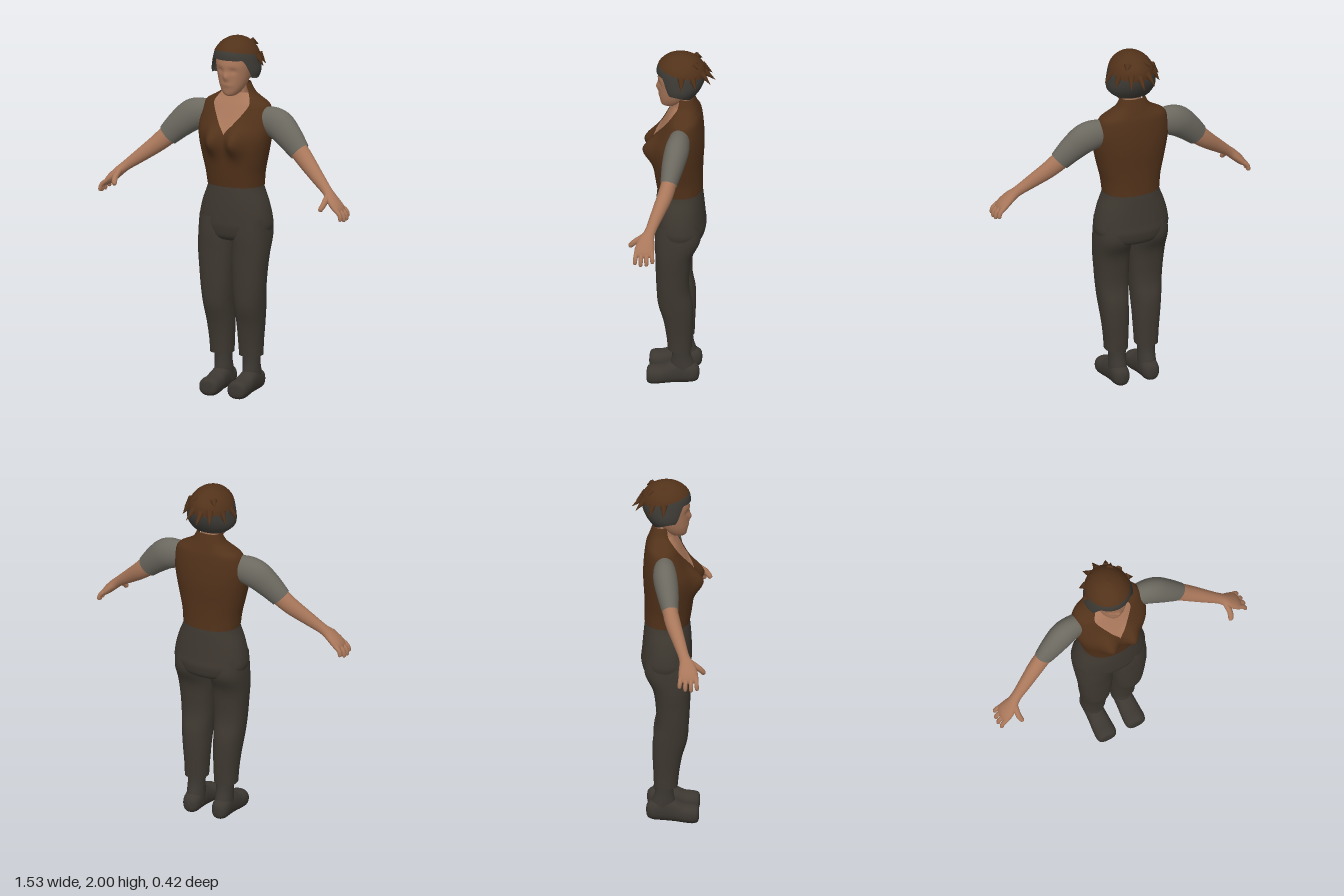
import * as THREE from 'three';
import { mergeVertices } from 'three/addons/utils/BufferGeometryUtils.js';

const mat = (name, color) => {
  const m = new THREE.MeshStandardMaterial({ color, side: THREE.DoubleSide });
  m.name = name;
  return m;
};

// Catmull-Rom sample of every column of a table, t in 0..1
function sample(rows, t) {
  const f = Math.min(Math.max(t, 0), 1) * (rows.length - 1);
  const i = Math.min(Math.floor(f), rows.length - 2), k = f - i;
  const at = (j) => rows[Math.min(Math.max(j, 0), rows.length - 1)];
  const [a, b, c, d] = [at(i - 1), at(i), at(i + 1), at(i + 2)];
  return b.map((_, n) => 0.5 * (2 * b[n] + (c[n] - a[n]) * k +
    (2 * a[n] - 5 * b[n] + 4 * c[n] - d[n]) * k * k + (3 * b[n] - a[n] - 3 * c[n] + d[n]) * k * k * k));
}

// Smooth grid surface from a point function of u and v
function sheet(fn, nu, nv) {
  const pos = [], idx = [];
  for (let j = 0; j <= nv; j++) for (let i = 0; i <= nu; i++) pos.push(...fn(i / nu, j / nv));
  for (let j = 0; j < nv; j++) for (let i = 0; i < nu; i++) {
    const a = j * (nu + 1) + i, c = a + nu + 1;
    idx.push(a, a + 1, c, a + 1, c + 1, c);
  }
  let g = new THREE.BufferGeometry();
  g.setAttribute('position', new THREE.Float32BufferAttribute(pos, 3));
  g.setIndex(idx);
  g = mergeVertices(g, 1e-5);
  g.computeVertexNormals();
  return g;
}

const pw = (v, p) => Math.sign(v) * Math.abs(v) ** p;
const bump = (x, y, x0, y0, sx, sy) => Math.exp(-(((x - x0) / sx) ** 2) - ((y - y0) / sy) ** 2);

// Point on a horizontal ring: [y, half width, front z, back z, centre x]
function ringPoint([y, w, f, b, cx = 0], th, p = 1) {
  w = Math.max(w, 0);
  return [cx + w * pw(Math.sin(th), p), y, (f + b) / 2 + (f - b) / 2 * pw(Math.cos(th), p)];
}
const column = (rows, p, nu = 40, nv = 40) =>
  sheet((u, v) => ringPoint(sample(rows, v), u * 2 * Math.PI, p), nu, nv);

// Limb along a path: [x, y, z, radius across, radius in depth]
function limb(rows, s, nu = 24, nv = 24) {
  const z = new THREE.Vector3(0, 0, 1);
  const pts = rows.map(([x, ...r]) => [s * x, ...r]);
  return sheet((u, v) => {
    const q = sample(pts, v), a = sample(pts, v - 0.01), b = sample(pts, v + 0.01);
    const t = new THREE.Vector3(b[0] - a[0], b[1] - a[1], b[2] - a[2]).normalize();
    const A = t.clone().cross(z).normalize(), B = t.clone().cross(A);
    const th = u * 2 * Math.PI;
    const o = A.multiplyScalar(Math.max(q[3], 0) * Math.cos(th)).addScaledVector(B, Math.max(q[4], 0) * Math.sin(th));
    return [q[0] + o.x, q[1] + o.y, q[2] + o.z];
  }, nu, nv);
}

// Torso table: y, half width, front z, back z, centre x, neckline half width
const TORSO = [
  [1.175, 0.16, 0.1, -0.148, 0, 0], [1.25, 0.168, 0.112, -0.148, 0, 0], [1.33, 0.186, 0.122, -0.15, 0, 0],
  [1.41, 0.203, 0.13, -0.155, 0, 0], [1.47, 0.212, 0.122, -0.156, 0, 0], [1.53, 0.213, 0.092, -0.153, 0, 0.045],
  [1.59, 0.203, 0.062, -0.147, 0, 0.088], [1.63, 0.185, 0.042, -0.14, 0, 0.108], [1.66, 0.135, 0.025, -0.13, 0, 0.098],
  [1.69, 0.094, 0.01, -0.12, 0, 0.08], [1.74, 0.068, -0.005, -0.102, 0, 0.058],
];
function torsoPoint(q, th, grow) {
  const [x, y, z] = ringPoint(q, th, 0.88);
  const chest = Math.cos(th) > 0 ? 0.052 * bump(Math.abs(x), y, 0.068, 1.43, 0.042, 0.07) : 0;
  return [x * grow, y, (z + chest + 0.03) * grow - 0.03];
}

// Head wrap table, from the lower rim to the crown
const WRAP = [
  [1.74, 0.11, 0.07, -0.1], [1.80, 0.138, 0.092, -0.142], [1.86, 0.133, 0.104, -0.163],
  [1.92, 0.116, 0.1, -0.158], [1.965, 0.083, 0.066, -0.123], [1.99, 0.042, 0.022, -0.078], [2.0, 0, -0.03, -0.03],
];
const wrapT = (y) => { // table position for a height
  let lo = 0, hi = 1;
  for (let i = 0; i < 24; i++) {
    const m = (lo + hi) / 2;
    if (sample(WRAP, m)[0] < y) lo = m; else hi = m;
  }
  return lo;
};
const seamY = (th) => 1.905 + 0.028 * Math.cos(th);
const rimY = (th) => {
  const a = Math.abs(Math.atan2(Math.sin(th), Math.cos(th)));
  return 1.885 - 0.095 * THREE.MathUtils.smoothstep(a, 0.75, 1.15) - 0.037 * THREE.MathUtils.smoothstep(a, 1.3, 2.6);
};

export function createModel() {
  const model = new THREE.Group();
  model.name = 'figure';
  const skin = mat('skin', 0xaa785b), leather = mat('brown leather', 0x52321a), linen = mat('grey linen', 0x6c6960);
  const trouser = mat('dark trousers', 0x3e3830), boot = mat('dark boots', 0x3c3731), hood = mat('charcoal cloth', 0x3d3a35);
  const add = (name, geo, m, parent = model) => {
    const mesh = new THREE.Mesh(geo, m);
    mesh.name = name;
    parent.add(mesh);
    return mesh;
  };

  // Vest, open at the neckline, over the bare chest
  add('vest', sheet((u, v) => {
    const q = sample(TORSO, v);
    const a = Math.asin(Math.min(Math.max(q[5], 0) / q[1], 0.98) ** (1 / 0.88));
    return torsoPoint(q, a + u * 2 * (Math.PI - a), 1);
  }, 96, 70), leather);
  add('chest', sheet((u, v) => torsoPoint(sample(TORSO.slice(3, 10), v), u * 2 * Math.PI, 0.965), 64, 40), skin);

  // Neck and head with nose and shallow eye sockets
  add('neck', column([[1.6, 0.075, 0.035, -0.1], [1.68, 0.056, 0.018, -0.09], [1.8, 0.055, 0.02, -0.09]], 1), skin);
  const HEAD = [
    [1.676, 0, 0.05, 0.03], [1.682, 0.028, 0.073, 0], [1.70, 0.05, 0.083, -0.03], [1.74, 0.073, 0.089, -0.07],
    [1.80, 0.092, 0.093, -0.11], [1.86, 0.102, 0.098, -0.135], [1.92, 0.098, 0.08, -0.13], [1.955, 0.06, 0.04, -0.1],
  ];
  add('head', sheet((u, v) => {
    const th = u * 2 * Math.PI, [x, y, z] = ringPoint(sample(HEAD, v), th, 0.95);
    const face = Math.cos(th) > 0 ? 0.016 * bump(x, y, 0, 1.79, 0.016, 0.024) + 0.005 * bump(x, y, 0, 1.745, 0.03, 0.014)
      - 0.008 * bump(Math.abs(x), y, 0.038, 1.825, 0.02, 0.016) : 0;
    return [x, y, z + face];
  }, 64, 56), skin);

  // Cloth band around the head, and the cap above it
  const wrap = (th, y, grow) => {
    const [x, yy, z] = ringPoint(sample(WRAP, wrapT(y)), th);
    return [x * grow, yy, (z + 0.03) * grow - 0.03];
  };
  add('headBand', sheet((u, v) => {
    const th = u * 2 * Math.PI, lo = rimY(th);
    return wrap(th, lo + (seamY(th) + 0.005 - lo) * v, 1);
  }, 72, 14), hood);
  add('cap', sheet((u, v) => {
    const th = u * 2 * Math.PI, t0 = wrapT(seamY(th));
    const [x, y, z] = ringPoint(sample(WRAP, t0 + (1 - t0) * v), th);
    return [x * 1.015, y, (z + 0.03) * 1.015 - 0.03];
  }, 72, 24), leather);

  // Pointed tufts hanging around the sides and back of the cap
  const tuft = (th, y, len, drop) => {
    const p = new THREE.Vector3(...wrap(th, y, 0.97));
    const dir = new THREE.Vector3(Math.sin(th) * 0.6, -drop, Math.cos(th) * 0.6).normalize();
    const m = add('capTuft', new THREE.ConeGeometry(0.022, len, 8), leather);
    m.quaternion.setFromUnitVectors(new THREE.Vector3(0, 1, 0), dir);
    m.position.copy(p).addScaledVector(dir, len * 0.4);
  };
  tuft(Math.PI, 1.89, 0.085, 0.5);
  for (const s of [1, -1]) {
    tuft(s * 1.65, 1.895, 0.075, 0.8);
    tuft(s * 2.15, 1.89, 0.07, 0.9);
    tuft(s * 2.72, 1.9, 0.085, 0.6);
    tuft(s * 2.5, 1.955, 0.045, 0.3);
  }

  // Trouser seat
  add('trouserSeat', column([
    [1.19, 0.153, 0.095, -0.142], [1.15, 0.163, 0.101, -0.148], [1.08, 0.19, 0.107, -0.155], [1.0, 0.209, 0.11, -0.162],
    [0.94, 0.209, 0.108, -0.166], [0.88, 0.17, 0.085, -0.14], [0.855, 0, 0, -0.05],
  ].reverse(), 0.9, 48, 36), trouser);

  for (const s of [1, -1]) {
    const side = s > 0 ? 'left' : 'right';

    // Trouser leg
    add(side + 'TrouserLeg', column([
      [0.22, 0.064, 0.035, -0.095, 0.09], [0.3, 0.068, 0.043, -0.098, 0.09], [0.4, 0.075, 0.06, -0.102, 0.093],
      [0.5, 0.082, 0.088, -0.1, 0.097], [0.6, 0.09, 0.096, -0.082, 0.099], [0.7, 0.096, 0.1, -0.085, 0.101],
      [0.8, 0.102, 0.102, -0.1, 0.104], [0.9, 0.102, 0.105, -0.145, 0.106], [1.0, 0.09, 0.1, -0.14, 0.11],
    ].map(([y, w, f, b, c]) => [y, w, f, b, s * c]), 0.88), trouser);

    // Boot shaft and foot
    add(side + 'BootShaft', column([
      [0.06, 0.05, 0.01, -0.12], [0.12, 0.049, 0.02, -0.108], [0.18, 0.048, 0.012, -0.09], [0.26, 0.052, 0.012, -0.085],
    ].map((r) => [...r, s * 0.087]), 1, 28, 14), boot);
    const FOOT = [ // z, half width, sole y, top y
      [-0.138, 0, 0.07, 0.08], [-0.13, 0.03, 0.035, 0.11], [-0.1, 0.048, 0.02, 0.13], [-0.04, 0.05, 0.014, 0.15],
      [0.02, 0.053, 0.01, 0.132], [0.07, 0.057, 0.004, 0.108], [0.12, 0.058, 0, 0.102], [0.147, 0.045, 0.012, 0.09],
      [0.152, 0, 0.045, 0.055],
    ];
    add(side + 'Foot', sheet((u, v) => {
      const [z, w, lo, hi] = sample(FOOT, v), th = u * 2 * Math.PI;
      return [s * 0.088 + Math.max(w, 0) * pw(Math.cos(th), 0.85), (lo + hi) / 2 + (hi - lo) / 2 * pw(Math.sin(th), 0.85), z];
    }, 28, 30), boot);

    // Sleeve, forearm and palm
    add(side + 'Sleeve', limb([
      [0.13, 1.545, -0.035, 0.06, 0.05], [0.2, 1.543, -0.034, 0.08, 0.06], [0.27, 1.525, -0.027, 0.087, 0.066],
      [0.34, 1.47, -0.012, 0.077, 0.06], [0.41, 1.4, 0.003, 0.062, 0.046],
    ], s, 32), linen);
    add(side + 'Forearm', limb([
      [0.36, 1.44, -0.005, 0.05, 0.04], [0.41, 1.4, 0.003, 0.054, 0.042], [0.47, 1.347, 0.022, 0.048, 0.042],
      [0.55, 1.282, 0.055, 0.038, 0.035], [0.625, 1.222, 0.085, 0.028, 0.03], [0.665, 1.185, 0.102, 0.027, 0.045],
      [0.705, 1.145, 0.11, 0.024, 0.054], [0.727, 1.12, 0.111, 0.014, 0.045], [0.733, 1.112, 0.111, 0, 0],
    ], s, 28, 40), skin);

    // Fingers and thumb
    const digit = (name, a, b, c, r) => add(side + name, limb([
      [...a, r, r], [...b, r, r], [...c, r * 0.8, r * 0.8], [...c.map((v, i) => v + (v - b[i]) * 0.18), 0, 0],
    ], s, 10, 12), skin);
    for (let i = 0; i < 4; i++) {
      const z = 0.07 + i * 0.027, long = [0.8, 0.97, 1, 0.9][i];
      digit('Finger', [0.7, 1.148, z], [0.7 + 0.043 * long, 1.148 - 0.035 * long, z + (i - 1.5) * 0.003],
        [0.7 + 0.053 * long, 1.148 - 0.07 * long, z + (i - 1.5) * 0.005], 0.0125);
    }
    digit('Thumb', [0.645, 1.205, 0.115], [0.65, 1.17, 0.165], [0.64, 1.138, 0.193], 0.016);
  }
  return model;
}
